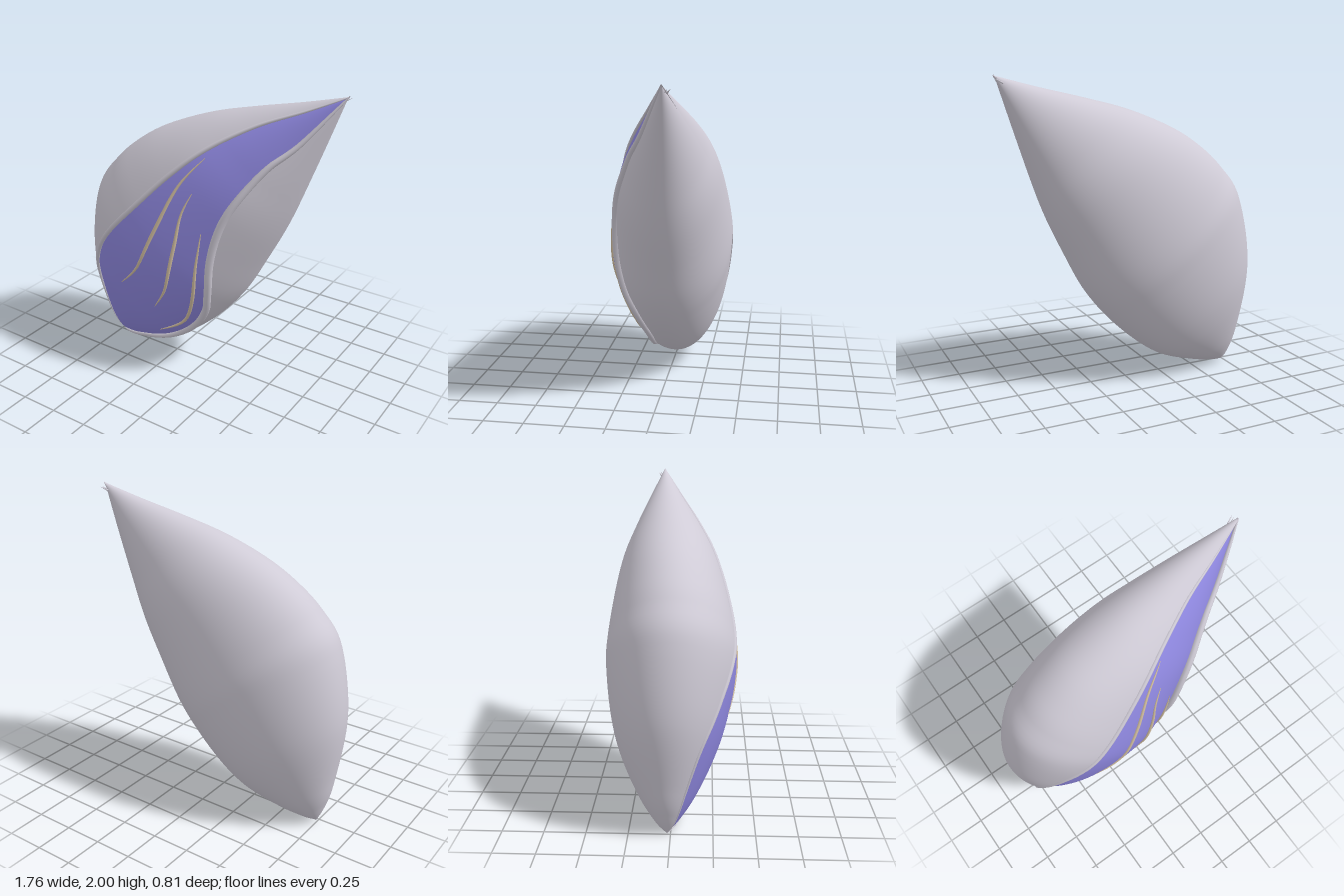
import * as THREE from 'three';
import { ParametricGeometry } from 'three/addons/geometries/ParametricGeometry.js';

// The pod leans: u runs from the lower tip to the upper tip, v points up and left across it.
const TIP = [-0.74, 0.005], LENGTH = 2.565, AX = 0.627, AY = 0.779;
const toUV = ([x, y]) => [(x - TIP[0]) * AX + (y - TIP[1]) * AY, -(x - TIP[0]) * AY + (y - TIP[1]) * AX];

// Smooth curve through points, looked up by its first coordinate
function curveOf(points) {
  const s = new THREE.SplineCurve(points.map(p => new THREE.Vector2(...p))).getPoints(240);
  return u => {
    let i = 1;
    while (i < s.length - 1 && s[i].x < u) i++;
    const a = s[i - 1], b = s[i];
    const k = THREE.MathUtils.clamp((u - a.x) / (b.x - a.x || 1), 0, 1);
    return a.y + (b.y - a.y) * k;
  };
}
const outline = points => curveOf(points.map(toUV));

// Outer silhouette and depth
const upperSide = outline([[-0.74, 0.005], [-0.79, 0.12], [-0.835, 0.3], [-0.884, 0.76], [-0.8, 1.2], [-0.66, 1.4],
  [-0.5, 1.54], [-0.3, 1.66], [0, 1.78], [0.3, 1.86], [0.6, 1.93], [0.87, 2]]);
const lowerSide = outline([[-0.74, 0.005], [-0.64, 0.015], [-0.466, 0.053], [-0.2, 0.15], [0.063, 0.36], [0.275, 0.61],
  [0.43, 0.89], [0.57, 1.18], [0.71, 1.55], [0.87, 2]]);
const front = curveOf([[0, -0.02], [0.06, 0.05], [0.2, 0.15], [0.42, 0.26], [0.63, 0.335], [0.9, 0.392], [1.15, 0.39],
  [1.63, 0.29], [1.93, 0.18], [2.25, 0.04], [LENGTH, -0.1]]);
const back = curveOf([[0, -0.02], [0.06, -0.09], [0.2, -0.19], [0.42, -0.3], [0.63, -0.365], [0.9, -0.405], [1.12, -0.41],
  [1.63, -0.355], [1.93, -0.285], [2.25, -0.2], [LENGTH, -0.11]]);

// Edges of the opening
const upperEdge = outline([[-0.74, 0.005], [-0.79, 0.23], [-0.785, 0.545], [-0.7, 0.757], [-0.57, 0.94], [-0.307, 1.22],
  [-0.095, 1.444], [0.116, 1.63], [0.38, 1.79], [0.645, 1.9], [0.87, 2]]);
const lowerEdge = outline([[-0.74, 0.005], [-0.466, 0.1], [-0.2, 0.205], [-0.016, 0.35], [0.115, 0.545], [0.17, 0.757],
  [0.2, 0.97], [0.255, 1.18], [0.335, 1.35], [0.49, 1.57], [0.65, 1.72], [0.87, 2]]);

function section(u) {
  const a = upperSide(u), b = lowerSide(u), f = front(u), k = back(u);
  return { v: (a + b) / 2, w: Math.max((a - b) / 2, 0.004), z: (f + k) / 2, d: Math.max((f - k) / 2, 0.004) };
}
function surface(u, phi, inset, target = new THREE.Vector3()) {
  const s = section(u), v = s.v + Math.max(s.w - inset, 0.002) * Math.cos(phi);
  return target.set(TIP[0] + u * AX - v * AY, TIP[1] + u * AY + v * AX,
    s.z + Math.max(s.d - inset, 0.002) * Math.sin(phi));
}
function angleAt(u, v) {
  const s = section(u);
  return Math.acos(THREE.MathUtils.clamp((v - s.v) / s.w, -0.985, 0.985));
}
const ease = t => LENGTH * (1 - Math.cos(Math.PI * t)) / 2;

// Part of the pod's skin between two angles
function skin(from, to, inset) {
  return new ParametricGeometry((p, t, target) => {
    const u = ease(t);
    surface(u, THREE.MathUtils.lerp(from(u), to(u), p), inset, target);
  }, 56, 90);
}

// Tube that narrows towards both ends
function taperedTube(points, radius, power) {
  const path = new THREE.CatmullRomCurve3(points), rings = 80, sides = 10;
  const g = new THREE.TubeGeometry(path, rings, radius, sides, false);
  const pos = g.attributes.position, p = new THREE.Vector3();
  for (let i = 0; i <= rings; i++) {
    const c = path.getPointAt(i / rings);
    const k = 0.12 + 0.88 * Math.pow(Math.sin(Math.PI * i / rings), power);
    for (let j = 0; j <= sides; j++) {
      const n = i * (sides + 1) + j;
      p.fromBufferAttribute(pos, n).sub(c).multiplyScalar(k).add(c);
      pos.setXYZ(n, p.x, p.y, p.z);
    }
  }
  return g;
}

export function createModel() {
  const group = new THREE.Group();
  const material = (name, color) => new THREE.MeshStandardMaterial({ name, color, side: THREE.DoubleSide });
  const shell = material('pale grey shell', 0xcfcbd6);
  const violet = material('violet core', 0x8f88e0);
  const cream = material('cream streak', 0xd2bfa2);
  const add = (name, geometry, mat) => {
    const mesh = new THREE.Mesh(geometry, mat);
    mesh.name = name;
    group.add(mesh);
    return mesh;
  };

  // Two shells, lapped along a seam at the back
  const upperAngle = u => angleAt(u, upperEdge(u)), lowerAngle = u => angleAt(u, lowerEdge(u));
  add('upperShell', skin(() => -Math.PI / 2, upperAngle, 0), shell);
  add('lowerShell', skin(lowerAngle, () => Math.PI * 1.53, 0.006), shell);

  // Core seen through the opening
  add('core', skin(u => upperAngle(u) - 0.12, u => lowerAngle(u) + 0.12, 0.014), violet);

  // Rolled lips along the opening
  const lip = (name, angle, radius, shift) => {
    const points = [];
    for (let i = 1; i < 40; i++) {
      const u = ease(i / 40);
      points.push(surface(u, angle(u) + shift * Math.sin(Math.PI * i / 40), 0.004));
    }
    add(name, taperedTube(points, radius, 0.7), shell);
  };
  lip('upperLip', upperAngle, 0.016, -0.01);
  lip('lowerLip', lowerAngle, 0.026, 0.03);

  // Three streaks lying on the core
  const streaks = [
    [[-0.45, 0.64], [-0.28, 0.82], [-0.148, 1.1], [-0.016, 1.4], [0.127, 1.587]],
    [[-0.2, 0.524], [-0.085, 0.714], [-0.01, 1.02], [0.026, 1.233], [0.085, 1.38]],
    [[-0.254, 0.265], [-0.042, 0.413], [0.074, 0.65], [0.127, 0.942], [0.158, 1.143]],
  ];
  streaks.forEach((line, i) => {
    const flat = new THREE.SplineCurve(line.map(p => new THREE.Vector2(...p))).getPoints(20);
    const points = flat.map(p => {
      const [u, v] = toUV([p.x, p.y]);
      return surface(u, angleAt(u, v), 0.014).setX(p.x).setY(p.y);
    });
    add('streak' + (i + 1), taperedTube(points, 0.012, 0.8), cream);
  });

  // Small barbs behind the upper tip
  for (const z of [-0.125, -0.14]) {
    const barb = add('tipBarb', new THREE.ConeGeometry(0.006, 0.06, 8), shell);
    barb.position.set(0.845, 1.97, z);
    barb.quaternion.setFromUnitVectors(new THREE.Vector3(0, 1, 0), new THREE.Vector3(0.8, 0.4, z * 3).normalize());
  }
  return group;
}
